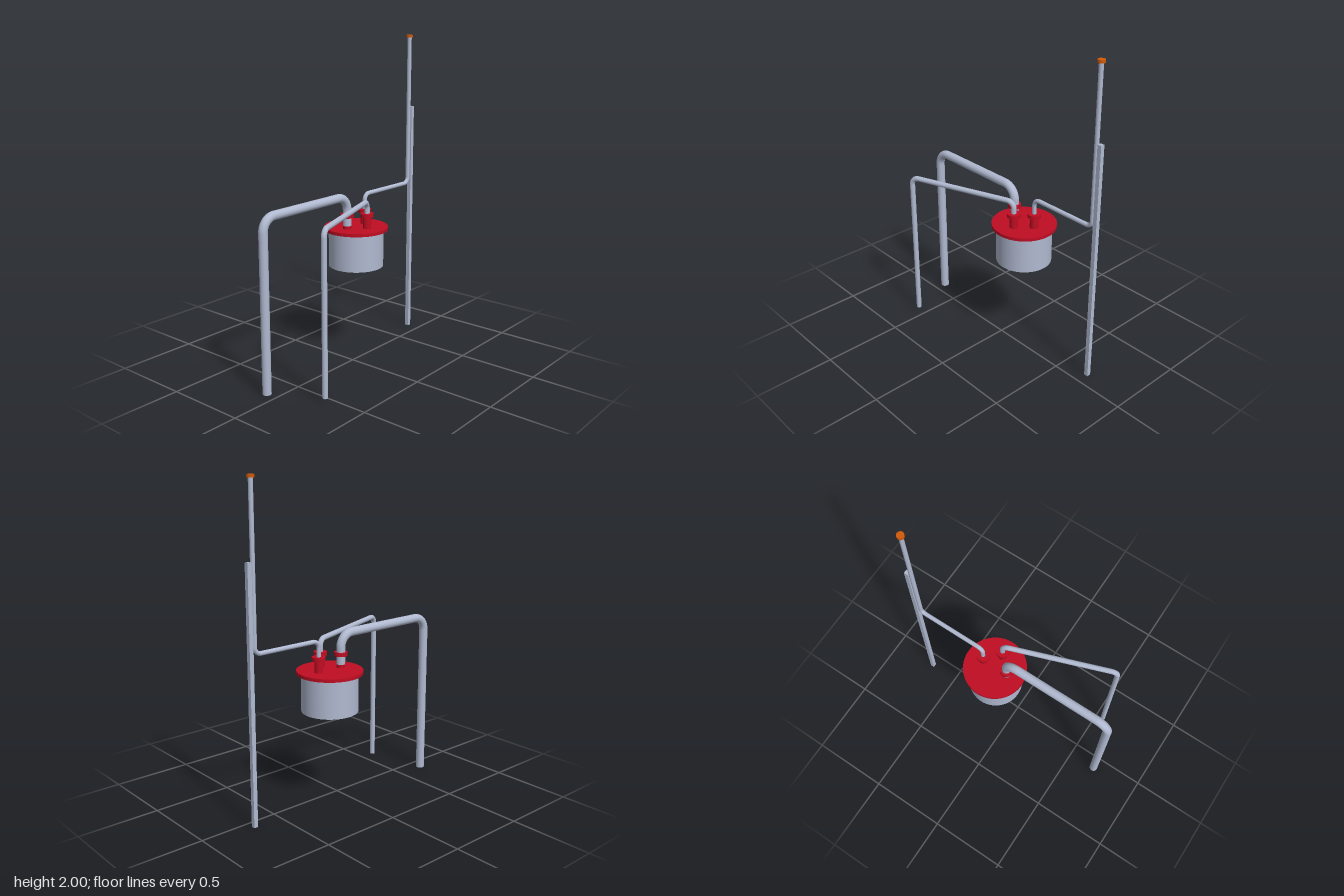
import * as THREE from 'three';

const steel = new THREE.MeshStandardMaterial({ color: 0xb0b9d0 });
steel.name = 'steel';
const red = new THREE.MeshStandardMaterial({ color: 0xc00d22 });
red.name = 'red';
const orange = new THREE.MeshStandardMaterial({ color: 0xd05a0a });
orange.name = 'orange';

const Z = -0.075; // plane of the jar and the two straight pipes
const CX = 0.123; // jar axis

export function createModel() {
  const model = new THREE.Group();
  model.name = 'pipedJar';

  const add = (name, geometry, material, x = 0, y = 0, z = 0) => {
    const mesh = new THREE.Mesh(geometry, material);
    mesh.name = name;
    mesh.position.set(x, y, z);
    model.add(mesh);
    return mesh;
  };

  // Upright cylinder given by its bottom and top heights
  const disc = (name, material, r, y0, y1, x, z, sides = 48) =>
    add(name, new THREE.CylinderGeometry(r, r, y1 - y0, sides), material, x, (y0 + y1) / 2, z);

  // Round pipe through corner points, with circular right-angle bends and closed ends
  const pipe = (name, r, bend, corners) => {
    const pts = corners.map((c) => new THREE.Vector3(...c));
    const path = new THREE.CurvePath();
    const k = 1 - 0.5523;
    let start = pts[0];
    for (let i = 1; i < pts.length - 1; i++) {
      const corner = pts[i];
      const back = pts[i - 1].clone().sub(corner).normalize();
      const ahead = pts[i + 1].clone().sub(corner).normalize();
      const at = (dir, d) => corner.clone().addScaledVector(dir, d);
      path.add(new THREE.LineCurve3(start, at(back, bend)));
      path.add(new THREE.CubicBezierCurve3(
        at(back, bend), at(back, bend * k), at(ahead, bend * k), at(ahead, bend)));
      start = at(ahead, bend);
    }
    const last = pts[pts.length - 1];
    path.add(new THREE.LineCurve3(start, last));
    path.arcLengthDivisions = 600;
    add(name, new THREE.TubeGeometry(path, 240, r, 20), steel);
    [[pts[0], pts[1]], [last, pts[pts.length - 2]]].forEach(([end, inner]) => {
      const cap = add(name + 'End', new THREE.CircleGeometry(r, 20), steel, end.x, end.y, end.z);
      cap.rotation.x = end.y < inner.y ? Math.PI / 2 : -Math.PI / 2;
    });
  };

  // Jar and lid
  disc('jarBody', steel, 0.172, 0.587, 0.822, CX, Z, 64);
  disc('lid', red, 0.2, 0.82, 0.84, CX, Z, 64);

  // Three necks with collars on the lid
  const ports = [[0.036, Z], [CX, 0.013], [0.208, Z]];
  ports.forEach(([x, z]) => {
    disc('portNeck', red, 0.026, 0.838, 0.915, x, z, 32);
    disc('portCollar', red, 0.041, 0.912, 0.935, x, z, 32);
  });

  // Wide pipe, slanted thin pipe and rising vent pipe
  pipe('widePipe', 0.027, 0.085,
    [[0.036, 0.86, Z], [0.036, 1.045, Z], [-0.683, 1.045, Z], [-0.683, 0, Z]]);
  pipe('slantedPipe', 0.0165, 0.045,
    [[CX, 0.86, 0.013], [CX, 1.01, 0.013], [-0.552, 1.01, 0.257], [-0.552, 0.03, 0.257]]);
  pipe('ventPipe', 0.0135, 0.04,
    [[0.208, 0.86, Z], [0.208, 1.03, Z], [0.663, 1.03, Z], [0.663, 1.99, Z]]);
  disc('ventCap', orange, 0.022, 1.983, 2.0, 0.663, Z, 12);

  // Square post beside the vent pipe
  add('post', new THREE.BoxGeometry(0.026, 1.53, 0.026), steel, 0.692, 0.775, Z);

  return model;
}
